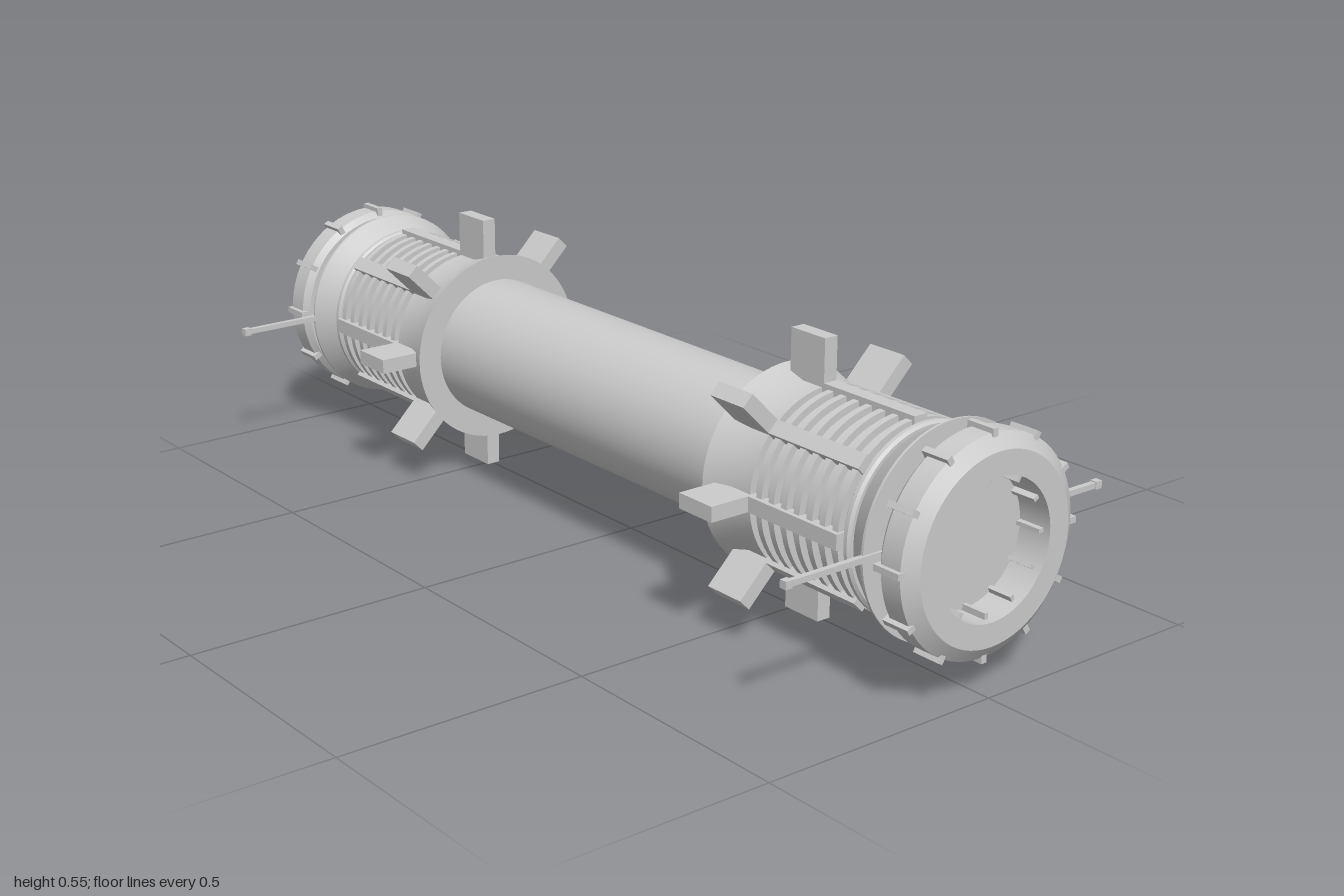
import * as THREE from 'three';
import { toCreasedNormals } from 'three/addons/utils/BufferGeometryUtils.js';

const AXIS_Y = 0.275;
const BORE = 0.132;
const material = new THREE.MeshStandardMaterial({ color: 0xcccccc });

function add(parent, name, geometry) {
  const mesh = new THREE.Mesh(geometry, material);
  mesh.name = name;
  parent.add(mesh);
  return mesh;
}

// Hollow turned part along z: outer [radius, z] pairs with z rising, closed along the bore
function turned(parent, name, outer, bore = BORE) {
  const first = outer[0], last = outer[outer.length - 1];
  const profile = [[bore, first[1]], ...outer, [bore, last[1]], [bore, first[1]]];
  const lathe = new THREE.LatheGeometry(profile.map(([r, z]) => new THREE.Vector2(r, z)), 64);
  lathe.rotateX(Math.PI / 2);
  return add(parent, name, toCreasedNormals(lathe, 0.4));
}

// Boxes spread evenly round the axis, from radius r0 to r1 and from z0 to z1
function radialBoxes(parent, name, count, width, r0, r1, z0, z1) {
  for (let i = 0; i < count; i++) {
    const box = new THREE.BoxGeometry(r1 - r0, width, z1 - z0);
    box.translate((r0 + r1) / 2, 0, (z0 + z1) / 2);
    add(parent, name, box).rotation.z = (i / count) * Math.PI * 2;
  }
}

function createEnd() {
  const end = new THREE.Group();

  // Collar where the end section meets the tube
  turned(end, 'collar', [[0.2, 0.465], [0.182, 0.525], [0.182, 0.575]]);
  radialBoxes(end, 'fin', 8, 0.03, 0.15, 0.274, 0.49, 0.58);

  // Ribbed grip with lengthwise bars
  turned(end, 'gripCore', [[0.168, 0.575], [0.168, 0.825]]);
  for (let i = 0; i < 7; i++) {
    const z = 0.592 + i * 0.033;
    turned(end, 'gripRib', [[0.182, z], [0.182, z + 0.014]], 0.16);
  }
  radialBoxes(end, 'gripBar', 8, 0.03, 0.155, 0.19, 0.5, 0.81);

  // Retaining ring, flared skirt and neck
  turned(end, 'retainingRing', [[0.178, 0.815], [0.183, 0.82], [0.183, 0.828], [0.178, 0.833]]);
  turned(end, 'flare', [[0.17, 0.83], [0.204, 0.885], [0.204, 0.89]]);
  turned(end, 'neck', [[0.147, 0.885], [0.147, 0.93]]);

  // End cap with grip lugs outside and retaining tabs inside
  turned(end, 'cap', [[0.193, 0.922], [0.205, 0.935], [0.205, 0.98], [0.178, 1]]);
  radialBoxes(end, 'capLug', 12, 0.012, 0.19, 0.214, 0.925, 0.985);
  radialBoxes(end, 'innerTab', 12, 0.008, 0.12, 0.136, 0.925, 0.985);

  // Recessed disc
  const disc = new THREE.CylinderGeometry(0.129, 0.129, 0.015, 64);
  disc.rotateX(Math.PI / 2);
  disc.translate(0, 0, 0.925);
  add(end, 'recessedDisc', disc);

  // Side rods with thicker tips
  radialBoxes(end, 'sideRod', 2, 0.011, 0.14, 0.37, 0.884, 0.895);
  radialBoxes(end, 'rodTip', 2, 0.015, 0.366, 0.381, 0.882, 0.897);
  return end;
}

export function createModel() {
  const model = new THREE.Group();
  model.name = 'capsuleTube';
  const body = new THREE.Group();
  body.name = 'body';
  body.position.y = AXIS_Y;
  model.add(body);

  // Plain middle tube
  turned(body, 'mainTube', [[0.147, -0.48], [0.147, 0.48]]);

  // Matching end sections
  const front = createEnd();
  front.name = 'frontEnd';
  const back = createEnd();
  back.name = 'backEnd';
  back.rotation.y = Math.PI;
  body.add(front, back);
  return model;
}
